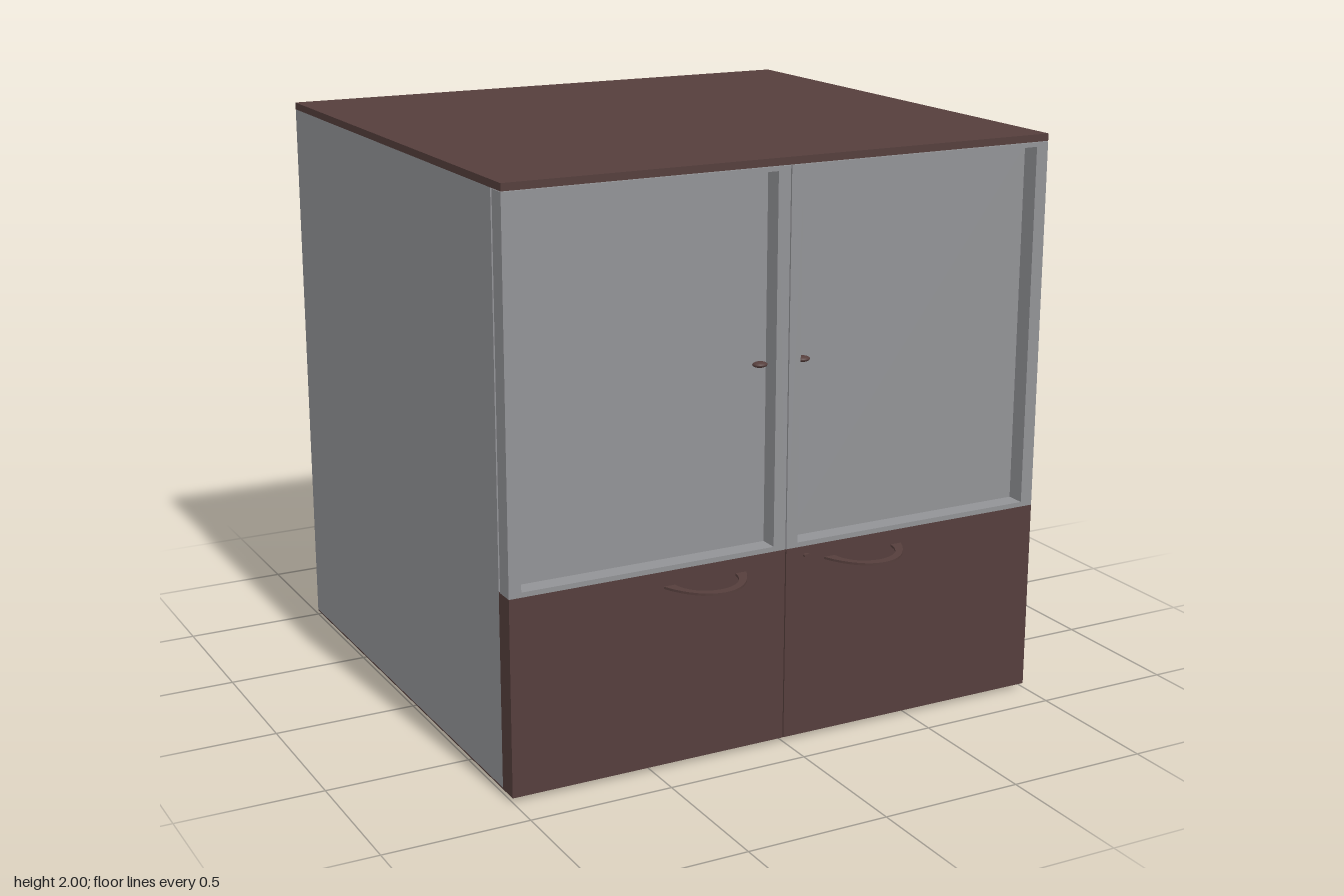
import * as THREE from 'three';

export function createModel() {
  const model = new THREE.Group();
  model.name = 'cabinet';
  const grey = new THREE.MeshStandardMaterial({ name: 'grey', color: 0x929396 });
  const brown = new THREE.MeshStandardMaterial({ name: 'dark brown', color: 0x553e3c });

  const add = (name, geometry, material, x = 0, y = 0, z = 0) => {
    const mesh = new THREE.Mesh(geometry, material);
    mesh.name = name;
    mesh.position.set(x, y, z);
    model.add(mesh);
    return mesh;
  };
  // Box given by its minimum and maximum on each axis
  const box = (name, material, x0, x1, y0, y1, z0, z1) =>
    add(name, new THREE.BoxGeometry(x1 - x0, y1 - y0, z1 - z0), material,
      (x0 + x1) / 2, (y0 + y1) / 2, (z0 + z1) / 2);

  // Carcass, top board and base
  box('carcass', grey, -1, 1, 0.02, 1.975, -1, 0.785);
  box('base', brown, -1, 1, 0.015, 0.02, -1, 0.785);
  box('topBoard', brown, -1, 1, 1.975, 2, -1, 0.862);

  // Six-sided feet
  for (const x of [-0.912, 0.912])
    for (const z of [-0.863, 0.73])
      add('foot', new THREE.CylinderGeometry(0.066, 0.066, 0.015, 6), brown, x, 0.0075, z);

  // Upper door frame: rectangle with a rectangular opening
  const frame = new THREE.Shape();
  frame.moveTo(0.002, 0.69).lineTo(1, 0.69).lineTo(1, 1.973).lineTo(0.002, 1.973).closePath();
  const opening = new THREE.Path();
  opening.moveTo(0.045, 0.707).lineTo(0.045, 1.958).lineTo(0.955, 1.958).lineTo(0.955, 0.707).closePath();
  frame.holes.push(opening);
  const frameGeometry = new THREE.ExtrudeGeometry(frame, { depth: 0.067, bevelEnabled: false });

  // Bow handle outline: wide at the ends, thinner at the middle
  const bow = new THREE.Shape();
  bow.moveTo(-0.153, 0);
  bow.bezierCurveTo(-0.08, 0.183, 0.08, 0.183, 0.153, 0);
  bow.lineTo(0.112, 0);
  bow.bezierCurveTo(0.1, 0.142, -0.1, 0.142, -0.112, 0);
  bow.closePath();
  const bowGeometry = new THREE.ExtrudeGeometry(bow, { depth: 0.008, bevelEnabled: false, curveSegments: 16 });
  bowGeometry.rotateX(Math.PI / 2);

  for (const side of [-1, 1]) {
    const span = (a, b) => (side > 0 ? [a, b] : [-b, -a]);
    // Symmetric frame outline, shifted across for the other door
    add('upperDoorFrame', frameGeometry, grey, side > 0 ? 0 : -1.002, 0, 0.795);
    box('doorPanel', grey, ...span(0.04, 0.96), 0.702, 1.962, 0.791, 0.796);
    box('panelBacking', brown, ...span(0.04, 0.96), 0.702, 1.962, 0.785, 0.791);
    const knob = add('doorKnob', new THREE.SphereGeometry(1, 16, 10), brown, side * 0.08, 1.322, 0.815);
    knob.scale.set(0.026, 0.01, 0.022);
    box('lowerDoor', brown, ...span(0.002, 1), 0.015, 0.69, 0.785, 0.862);
    add('bowHandle', bowGeometry, brown, side * 0.303, 0.639, 0.862);
  }

  // Lock on one lower door
  const lock = add('lock', new THREE.CylinderGeometry(0.012, 0.012, 0.014, 12), brown, 0.078, 0.659, 0.868);
  lock.rotation.x = Math.PI / 2;
  lock.scale.z = 0.5;

  return model;
}
